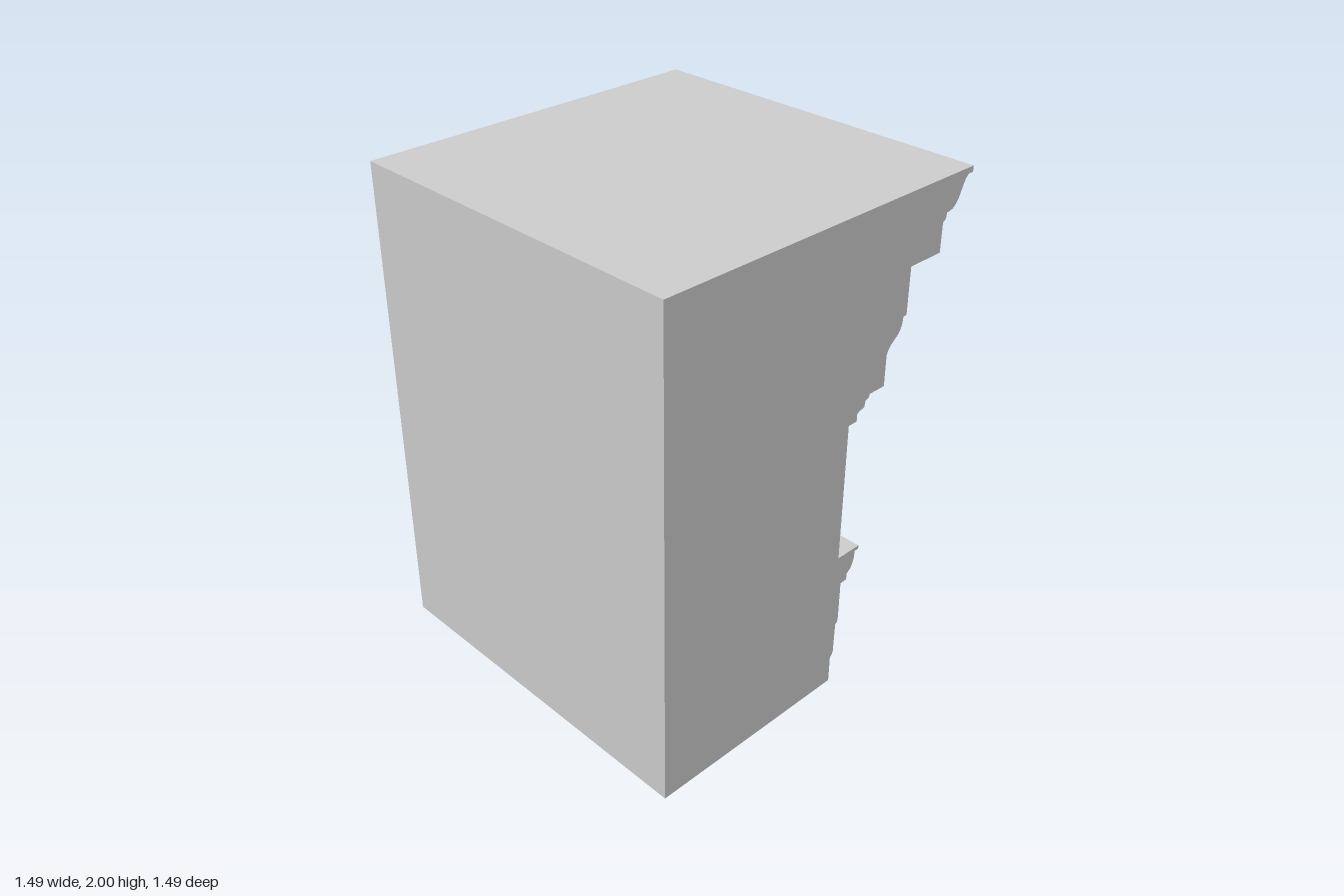
import * as THREE from 'three';
import { toCreasedNormals } from 'three/addons/utils/BufferGeometryUtils.js';

const HALF = 0.745;                       // half length and half depth
const DENTIL = { back: 0.26, front: 0.34, bottom: 1.275, top: 1.4, width: 0.1, pitch: 0.15 };

// Moulding section in x (projection) and y (height), drawn upwards.
function entablatureProfile() {
  const s = new THREE.Shape();
  const lines = (...pts) => pts.forEach(([x, y]) => s.lineTo(x, y));
  s.moveTo(-HALF, 0);
  // stepped lower bands
  lines([0.15, 0], [0.15, 0.115], [0.165, 0.138], [0.167, 0.275]);
  s.quadraticCurveTo(0.18, 0.28, 0.18, 0.305);
  // lower crown moulding
  lines([0.18, 0.47], [0.212, 0.472], [0.214, 0.5]);
  s.bezierCurveTo(0.24, 0.515, 0.25, 0.54, 0.252, 0.587);
  lines([0.272, 0.587], [0.272, 0.602], [0.155, 0.602]);
  // plain frieze and bed moulding
  lines([0.155, 1.187], [0.198, 1.187], [0.198, 1.215]);
  s.quadraticCurveTo(0.205, 1.227, 0.235, 1.23);
  lines([0.24, 1.255], [0.258, 1.262], [0.26, 1.275]);
  // recess behind the dentils
  lines([DENTIL.back, DENTIL.bottom + 0.001], [DENTIL.back, DENTIL.top], [DENTIL.front, DENTIL.top]);
  // curved moulding above the dentils
  s.bezierCurveTo(0.355, 1.46, 0.415, 1.44, 0.418, 1.527);
  // projecting corona
  lines([0.435, 1.527], [0.435, 1.715], [0.597, 1.715], [0.597, 1.83], [0.612, 1.84], [0.615, 1.862]);
  // crowning S-curve
  s.bezierCurveTo(0.69, 1.862, 0.68, 1.95, 0.722, 1.977);
  lines([HALF, 1.977], [HALF, 2], [-HALF, 2]);
  s.closePath();
  return s;
}

export function createModel() {
  const group = new THREE.Group();
  group.name = 'entablature';
  const material = new THREE.MeshStandardMaterial({ color: 0xcccccc });

  // Solid block with the moulded face
  const body = new THREE.ExtrudeGeometry(entablatureProfile(), {
    depth: HALF * 2, bevelEnabled: false, curveSegments: 12,
  });
  body.translate(0, 0, -HALF);
  const block = new THREE.Mesh(toCreasedNormals(body, 0.5), material);
  block.name = 'mouldedBlock';
  group.add(block);

  // Row of dentils, cut in half at both ends
  const dentils = new THREE.Group();
  dentils.name = 'dentils';
  for (let i = -5; i <= 5; i++) {
    const z0 = Math.max(-HALF, i * DENTIL.pitch - DENTIL.width / 2);
    const z1 = Math.min(HALF, i * DENTIL.pitch + DENTIL.width / 2);
    const { back, front, bottom, top } = DENTIL;
    const dentil = new THREE.Mesh(new THREE.BoxGeometry(front - back, top - bottom, z1 - z0), material);
    dentil.name = 'dentil';
    dentil.position.set((front + back) / 2, (top + bottom) / 2, (z0 + z1) / 2);
    dentils.add(dentil);
  }
  group.add(dentils);
  return group;
}
